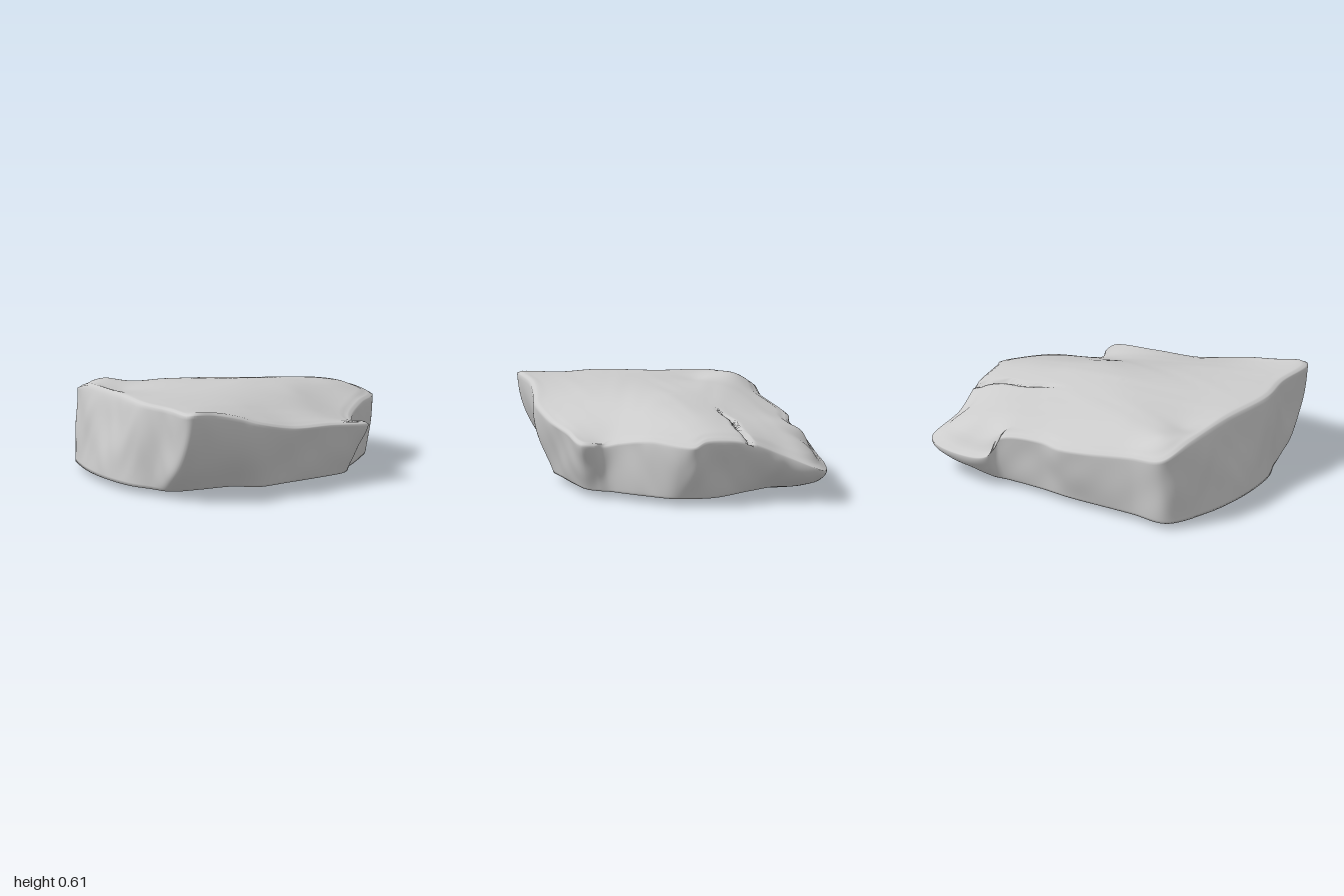
import * as THREE from 'three';

// Outline of the slab, clockwise from the right tip: top x, z, y, then base x, z
const outline = [
  [1.0, -0.01, 0.41, 0.90, -0.03], [0.95, 0.08, 0.41, 0.88, 0.12],
  [0.79, 0.25, 0.42, 0.77, 0.26], [0.61, 0.44, 0.38, 0.63, 0.41],
  [0.58, 0.53, 0.36, 0.56, 0.48], [0.61, 0.60, 0.37, 0.52, 0.55],
  [0.60, 0.68, 0.38, 0.45, 0.62], [0.30, 0.74, 0.41, 0.25, 0.67],
  [0.0, 0.80, 0.43, 0.0, 0.71], [-0.30, 0.86, 0.50, -0.25, 0.74],
  [-0.42, 0.85, 0.54, -0.37, 0.65], [-0.60, 0.85, 0.585, -0.60, 0.63],
  [-0.80, 0.90, 0.615, -0.78, 0.61], [-0.84, 0.87, 0.61, -0.83, 0.57],
  [-0.84, 0.62, 0.60, -0.88, 0.46], [-0.90, 0.38, 0.60, -0.95, 0.32],
  [-0.87, 0.0, 0.59, -0.99, 0.0], [-0.88, -0.40, 0.58, -0.95, -0.35],
  [-0.82, -0.63, 0.51, -0.84, -0.61], [-0.57, -0.66, 0.47, -0.58, -0.64],
  [-0.10, -0.77, 0.42, -0.10, -0.71], [0.10, -0.75, 0.41, 0.10, -0.72],
  [0.39, -0.81, 0.36, 0.35, -0.76], [0.42, -0.88, 0.26, 0.43, -0.79],
  [0.62, -0.91, 0.22, 0.55, -0.79], [0.90, -0.85, 0.23, 0.68, -0.71],
  [0.87, -0.60, 0.33, 0.69, -0.57], [0.91, -0.37, 0.42, 0.80, -0.38],
  [0.95, -0.10, 0.44, 0.88, -0.17],
];
// Heights across the top face: x, z, y
const heights = [
  [-0.6, 0.5, 0.585], [-0.25, 0.55, 0.54], [0, 0.5, 0.50], [0.4, 0.45, 0.42],
  [-0.5, 0, 0.58], [0, 0, 0.58], [0.4, 0, 0.545], [0.7, -0.05, 0.50],
  [-0.7, -0.5, 0.58], [-0.7, -0.25, 0.55], [-0.35, -0.4, 0.555], [0, -0.4, 0.53],
  [0.4, -0.4, 0.49], [0.75, -0.4, 0.45], [0.45, -0.77, 0.37], [0.65, -0.77, 0.345],
  [0.82, -0.74, 0.31], [0.3, 0.22, 0.53], [0.7, 0.12, 0.47],
  ...outline.map(([x, z, y]) => [x, z, y]),
];

const { lerp, smoothstep } = THREE.MathUtils;

// Smooth repeatable bumps
const bumps = (x, y, z) =>
  Math.sin(6 * x + 3 * Math.sin(4 * z + 3 * y)) * 0.45 +
  Math.sin(9 * z - 11 * y + 3 * Math.sin(5 * x)) * 0.35 +
  Math.sin(19 * x + 15 * y + 4 * Math.sin(11 * z)) * 0.2;

// Smooth surface through all the heights: distance kernels over a tilted plane
function heightField() {
  const plane = (x) => 0.53 - 0.07 * x;
  const kernel = (dx, dz) => Math.sqrt(dx * dx + dz * dz + 0.004);
  const n = heights.length;
  const m = heights.map(([x, z, y]) =>
    [...heights.map(([hx, hz]) => kernel(x - hx, z - hz)), y - plane(x)]);
  for (let c = 0; c < n; c++) {
    let p = c;
    for (let r = c + 1; r < n; r++) if (Math.abs(m[r][c]) > Math.abs(m[p][c])) p = r;
    [m[c], m[p]] = [m[p], m[c]];
    for (let r = 0; r < n; r++) {
      if (r === c) continue;
      const f = m[r][c] / m[c][c];
      for (let k = c; k <= n; k++) m[r][k] -= f * m[c][k];
    }
  }
  const weights = m.map((row, i) => row[n] / row[i]);
  return (x, z) => heights.reduce(
    (sum, [hx, hz], i) => sum + weights[i] * kernel(x - hx, z - hz), plane(x));
}

// Narrow crack running in from the right edge
function crack(x, z) {
  const line = -0.24 - 0.19 * (x - 0.2) + 0.01 * Math.sin(20 * x);
  return 0.06 * smoothstep(x, 0.2, 0.85) * Math.exp(-(((z - line) / 0.012) ** 2));
}

// Wall regions: overhanging back right corner, chipped front foot, bellied left end
const overhang = (x, z) => smoothstep(x, 0.25, 0.7) * smoothstep(-z, 0.1, 0.5);
const chip = (x, z) => smoothstep(-x, 0.2, 0.42) * smoothstep(z, 0.6, 0.8);
const belly = (x, z) => smoothstep(-x, 0.82, 0.88) * smoothstep(-z, -0.5, -0.3);

function slabGeometry() {
  const N = 348, TOP = 44, WALL = 26, BASE = 10;
  const loop = (pick) => new THREE.CatmullRomCurve3(
    outline.map(pick), true, 'centripetal');
  const rimCurve = loop(([x, z, y]) => new THREE.Vector3(x, y, z));
  const baseCurve = loop(([, , , x, z]) => new THREE.Vector3(
    x, 0.045 + 0.03 * overhang(x, z), z));
  const rim = [], base = [];
  for (let j = 0; j < N; j++) {
    rim.push(rimCurve.getPoint(j / N));
    base.push(baseCurve.getPoint(j / N));
  }

  const topHeight = heightField();
  const positions = [], index = [];
  const addRing = (place) => {
    for (let j = 0; j < N; j++) positions.push(...place(rim[j], base[j]));
  };

  // Top face, from the centre out to a slightly rounded rim
  for (let i = 0; i <= TOP; i++) {
    const s = 1 - (1 - i / TOP) ** 1.2;
    addRing((r) => {
      const x = r.x * s, z = r.z * s;
      const y = lerp(topHeight(x, z), r.y, smoothstep(s, 0.9, 1));
      const round = 0.015 * smoothstep(s, 0.97, 1);
      const grain = 0.004 * bumps(0.5 * x, 0, z) * (1 - s ** 4);
      return [x, y + grain - crack(x, z) - round, z];
    });
  }
  // Broken side walls
  for (let i = 1; i <= WALL; i++) {
    const v = i / WALL;
    addRing((r, b) => {
      const h = v ** (1.1 + 1.1 * overhang(r.x, r.z) + chip(r.x, r.z) - 0.3 * belly(r.x, r.z));
      const x = lerp(r.x, b.x, h), z = lerp(r.z, b.z, h);
      const y = lerp(r.y - 0.015, b.y, v);
      const swell = Math.sin(Math.PI * v) ** 0.6;
      const out = 1 + swell * (0.006 + 0.014 * bumps(x, y, z));
      return [x * out, y, z * out];
    });
  }
  // Shallow convex underside, lowest a little behind the middle
  for (let i = 1; i <= BASE; i++) {
    const s = 1 - i / BASE;
    addRing((r, b) => [b.x * s, b.y * s ** 2.2, lerp(-0.2, b.z, s)]);
  }

  const rings = TOP + WALL + BASE;
  for (let i = 0; i < rings; i++) {
    for (let j = 0; j < N; j++) {
      const k = (j + 1) % N;
      const a = i * N + j, b = i * N + k, c = a + N, d = b + N;
      if (i > 0) index.push(a, b, c);
      if (i < rings - 1) index.push(b, d, c);
    }
  }
  const geometry = new THREE.BufferGeometry();
  geometry.setAttribute('position', new THREE.Float32BufferAttribute(positions, 3));
  geometry.setIndex(index);
  geometry.computeVertexNormals();
  // The collapsed centre rings point straight up and down
  const normal = geometry.attributes.normal;
  for (let j = 0; j < N; j++) {
    normal.setXYZ(j, 0, 1, 0);
    normal.setXYZ(rings * N + j, 0, -1, 0);
  }
  return geometry;
}

export function createModel() {
  const group = new THREE.Group();
  group.name = 'rock';
  const slab = new THREE.Mesh(slabGeometry(),
    new THREE.MeshStandardMaterial({ color: 0xcccccc }));
  slab.name = 'rockSlab';
  group.add(slab);
  return group;
}
